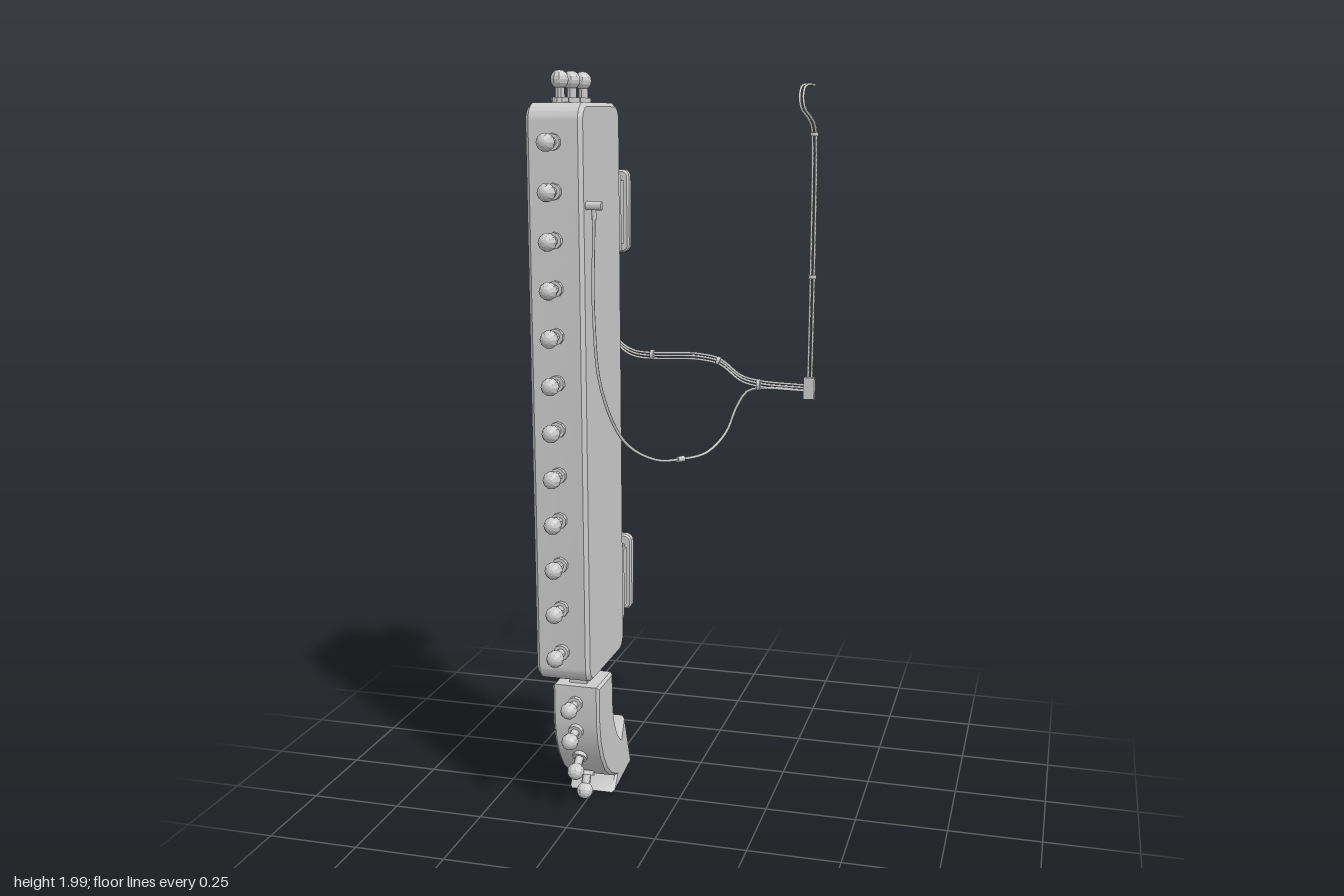
import * as THREE from 'three';
import { toCreasedNormals } from 'three/addons/utils/BufferGeometryUtils.js';

const CX = -0.256; // centre of the sign in x

export function createModel() {
  const root = new THREE.Group();
  const grey = new THREE.MeshStandardMaterial({ color: 0xcccccc });
  const faceted = new THREE.MeshStandardMaterial({ color: 0xcccccc, flatShading: true });
  const V = (x, y, z) => new THREE.Vector3(x, y, z);

  function add(name, geometry, x = 0, y = 0, z = 0, parent = root, material = grey) {
    const mesh = new THREE.Mesh(geometry, material);
    mesh.name = name;
    mesh.position.set(x, y, z);
    parent.add(mesh);
    return mesh;
  }

  function roundedRect(w, h, r) {
    const s = new THREE.Shape();
    s.moveTo(-w / 2 + r, -h / 2);
    s.absarc(w / 2 - r, -h / 2 + r, r, -Math.PI / 2, 0);
    s.absarc(w / 2 - r, h / 2 - r, r, 0, Math.PI / 2);
    s.absarc(-w / 2 + r, h / 2 - r, r, Math.PI / 2, Math.PI);
    s.absarc(-w / 2 + r, -h / 2 + r, r, Math.PI, Math.PI * 1.5);
    return s;
  }

  // Bevelled slab of total thickness, centred on its own plane
  function slab(shape, thickness, bevel) {
    const g = new THREE.ExtrudeGeometry(shape, {
      depth: thickness - 2 * bevel, curveSegments: 5,
      bevelSize: bevel, bevelOffset: -bevel, bevelThickness: bevel, bevelSegments: 1,
    });
    g.translate(0, 0, -thickness / 2 + bevel);
    return toCreasedNormals(g, 0.6);
  }

  // Tall sign body, profile drawn in z and y
  add('signBody', slab(roundedRect(0.315, 1.505, 0.045), 0.148, 0.01).rotateY(-Math.PI / 2), CX, 1.1725, 0.083);

  // Neck and curved arrow
  add('arrowNeck', new THREE.BoxGeometry(0.05, 0.08, 0.074), CX, 0.395, 0.079);
  const arrow = new THREE.Shape();
  arrow.moveTo(0.14, 0.375);
  arrow.lineTo(0.14, 0.27);
  arrow.bezierCurveTo(0.135, 0.17, 0.07, 0.075, -0.018, 0.05);
  arrow.lineTo(0.012, 0.01);
  arrow.lineTo(-0.16, 0.034);
  arrow.lineTo(-0.096, 0.202);
  arrow.lineTo(-0.064, 0.146);
  arrow.bezierCurveTo(-0.02, 0.18, 0.008, 0.23, 0.01, 0.3);
  arrow.lineTo(0.01, 0.375);
  arrow.closePath();
  add('arrow', slab(arrow, 0.133, 0.007).rotateY(-Math.PI / 2), CX);

  // Light bulbs, growing along +y from their base
  const flange = new THREE.CylinderGeometry(0.021, 0.021, 0.013, 10);
  const stem = new THREE.CylinderGeometry(0.0125, 0.0125, 0.04, 10);
  const ball = new THREE.SphereGeometry(0.0235, 10, 8);
  function bulb(y, z, dy, dz) {
    const g = new THREE.Group();
    g.name = 'bulb';
    add('bulbFlange', flange, 0, 0.006, 0, g, faceted);
    add('bulbStem', stem, 0, 0.025, 0, g, faceted);
    add('bulbGlobe', ball, 0, 0.055, 0, g, faceted);
    g.position.set(CX, y, z);
    g.quaternion.setFromUnitVectors(V(0, 1, 0), V(0, dy, dz).normalize());
    root.add(g);
  }
  for (let i = 0; i < 12; i++) bulb(0.51 + i * 0.12, 0.24, 0, 1);
  for (const z of [0.005, 0.095, 0.185]) bulb(1.925, z, 1, 0);
  bulb(0.325, 0.14, 0, 1);
  bulb(0.245, 0.137, -0.2, 1);
  bulb(0.16, 0.103, -0.6, 0.85);
  bulb(0.087, 0.048, -0.9, 0.45);

  // Wall mounts: base plate, stepped column and end plate
  for (const y of [0.603, 1.637]) {
    const mount = new THREE.Group();
    mount.name = 'wallMount';
    mount.position.set(CX, y, 0);
    root.add(mount);
    add('mountBasePlate', slab(roundedRect(0.135, 0.225, 0.02), 0.036, 0.006), 0, 0, -0.09, mount);
    add('mountLowerStep', new THREE.BoxGeometry(0.11, 0.17, 0.065), 0, 0, -0.1325, mount);
    add('mountColumn', new THREE.BoxGeometry(0.08, 0.17, 0.11), 0, 0, -0.15, mount);
    add('mountEndPlate', slab(roundedRect(0.12, 0.225, 0.02), 0.028, 0.005), 0, 0, -0.208, mount);
  }

  // Junction box on the back, connector box and side plug
  add('junctionBox', slab(roundedRect(0.125, 0.155, 0.015), 0.04, 0.005), CX, 1.372, -0.09);
  add('connectorBox', new THREE.BoxGeometry(0.03, 0.06, 0.02), 0.311, 1.165, -0.215);
  add('sidePlug', new THREE.CylinderGeometry(0.011, 0.011, 0.042, 8).rotateZ(Math.PI / 2), -0.163, 1.675, 0.209);
  add('plugSleeve', new THREE.CylinderGeometry(0.006, 0.006, 0.03, 8), -0.163, 1.655, 0.209);

  // Cables
  function cable(name, points, radius, offset = V(0, 0, 0)) {
    const curve = new THREE.CatmullRomCurve3(points.map((p) => V(...p).add(offset)), false, 'centripetal');
    add(name, new THREE.TubeGeometry(curve, 70, radius, 6), 0, 0, 0);
  }
  const bundle = [
    [CX, 1.37, -0.1], [CX, 1.367, -0.17], [-0.253, 1.345, -0.205], [-0.235, 1.275, -0.214],
    [-0.19, 1.243, -0.214], [0, 1.24, -0.214], [0.06, 1.228, -0.214], [0.12, 1.185, -0.214],
    [0.17, 1.172, -0.214], [0.305, 1.165, -0.214],
  ];
  for (const d of [-1, 0, 1]) cable('bundleStrand', bundle, 0.0035, V(0, d * 0.008, Math.abs(d) * 0.002));

  const riser = [
    [0.312, 1.18, -0.213], [0.314, 1.5, -0.21], [0.312, 1.82, -0.213], [0.31, 1.865, -0.205],
    [0.303, 1.89, -0.175], [0.293, 1.91, -0.147], [0.288, 1.935, -0.144], [0.287, 1.96, -0.163],
    [0.287, 1.971, -0.2], [0.287, 1.973, -0.317],
  ];
  for (const d of [-1, 1]) cable('riserStrand', riser, 0.0035, V(d * 0.005, 0, 0));

  cable('hangingCable', [
    [-0.163, 1.66, 0.209], [-0.167, 1.4, 0.209], [-0.157, 1.21, 0.185], [-0.118, 1.06, 0.115],
    [-0.06, 0.998, 0.035], [-0.01, 0.983, -0.05], [0.045, 0.988, -0.14], [0.085, 1.035, -0.185],
    [0.11, 1.105, -0.205], [0.14, 1.15, -0.212], [0.2, 1.16, -0.214], [0.305, 1.157, -0.214],
  ], 0.004);

  // Cable ties, each lying along its cable
  function tie(position, direction, radius, length) {
    const t = add('cableTie', new THREE.CylinderGeometry(radius, radius, length, 8), ...position);
    t.quaternion.setFromUnitVectors(V(0, 1, 0), V(...direction).normalize());
  }
  tie([-0.135, 1.24, -0.214], [1, 0, 0], 0.014, 0.01);
  tie([0.055, 1.23, -0.214], [1, -0.3, 0], 0.012, 0.01);
  tie([0.17, 1.168, -0.214], [1, 0, 0], 0.016, 0.01);
  tie([0.314, 1.47, -0.21], [0, 1, 0], 0.011, 0.01);
  tie([0.312, 1.845, -0.21], [0, 1, 0], 0.011, 0.01);
  tie([-0.01, 0.983, -0.05], [0.5, 0, -0.85], 0.008, 0.025);

  return root;
}
